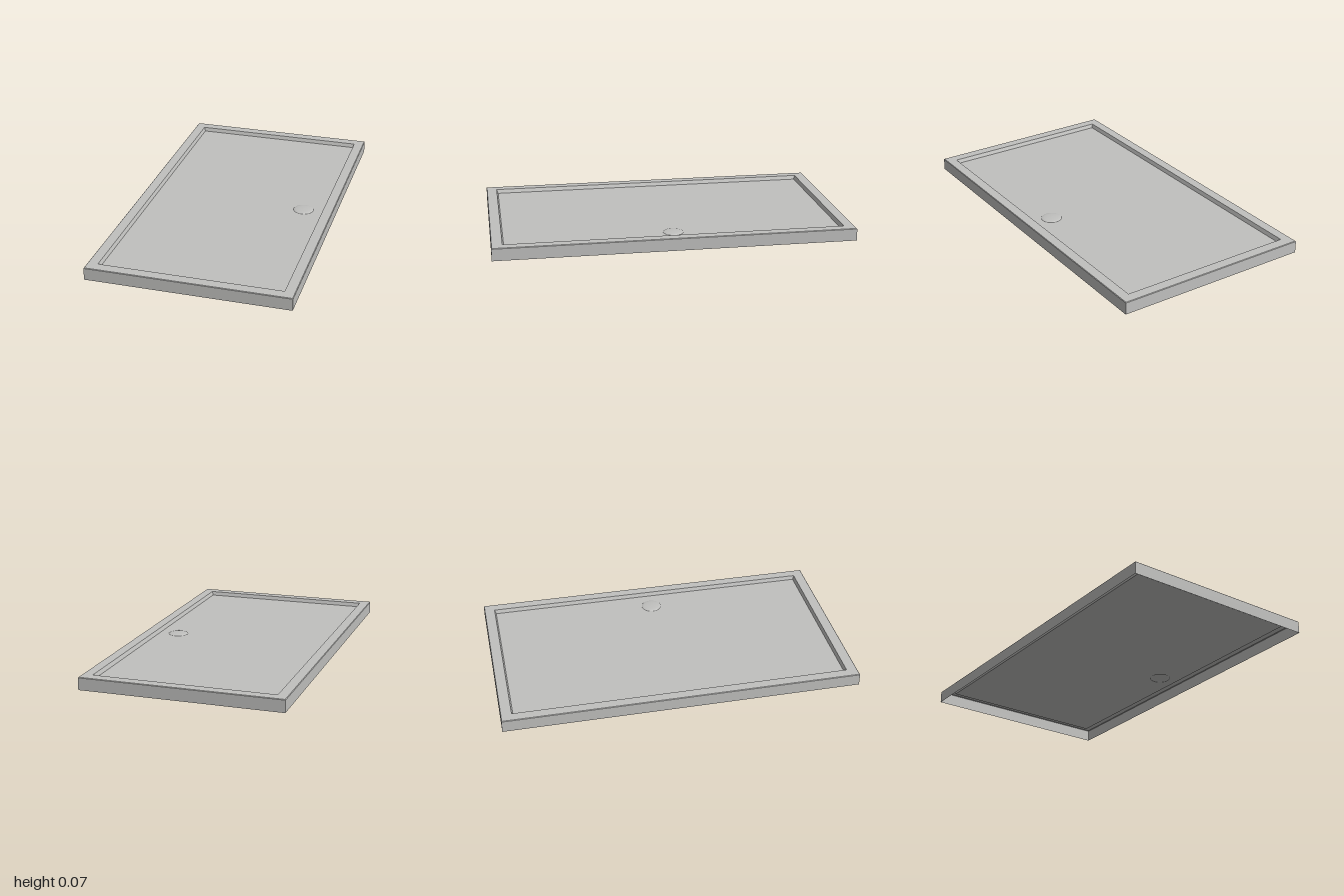
import * as THREE from 'three';

// Flat-shaded strip joining rectangular rings [halfX, y, halfZ], outermost first
function ringShell(rings) {
  const corners = ([x, y, z]) => [[x, y, z], [x, y, -z], [-x, y, -z], [-x, y, z]];
  const pos = [];
  for (let r = 0; r < rings.length - 1; r++) {
    const a = corners(rings[r]), b = corners(rings[r + 1]);
    for (let i = 0; i < 4; i++) {
      const j = (i + 1) % 4;
      pos.push(...a[i], ...a[j], ...b[j], ...a[i], ...b[j], ...b[i]);
    }
  }
  const geo = new THREE.BufferGeometry();
  geo.setAttribute('position', new THREE.Float32BufferAttribute(pos, 3));
  geo.computeVertexNormals();
  return geo;
}

export function createModel() {
  const group = new THREE.Group();
  group.name = 'showerTray';
  const acrylic = new THREE.MeshStandardMaterial({ color: 0xc0c0be, side: THREE.DoubleSide });
  acrylic.name = 'pale grey acrylic';
  const add = (name, geo, x = 0, y = 0, z = 0) => {
    const mesh = new THREE.Mesh(geo, acrylic);
    mesh.name = name;
    mesh.position.set(x, y, z);
    group.add(mesh);
  };

  const top = 0.07, floorY = 0.048;
  const drainX = 0.385, drainR = 0.057;

  // Outer skirt, open underneath, with a slightly eased top edge
  add('skirt', ringShell([[0.56, 0, 1], [0.56, top - 0.003, 1], [0.557, top, 0.997]]));
  // Flat rim and the steep step down to the floor
  add('rim', ringShell([[0.557, top, 0.997], [0.503, top, 0.94]]));
  add('basinStep', ringShell([[0.503, top, 0.94], [0.495, floorY, 0.932]]));

  // Standing floor with a round waste opening
  const shape = new THREE.Shape();
  shape.moveTo(-0.495, -0.932).lineTo(0.495, -0.932).lineTo(0.495, 0.932).lineTo(-0.495, 0.932).closePath();
  const hole = new THREE.Path();
  hole.absarc(drainX, 0, drainR, 0, Math.PI * 2, true);
  shape.holes.push(hole);
  add('floor', new THREE.ShapeGeometry(shape, 24).rotateX(-Math.PI / 2), 0, floorY, 0);

  // Shallow domed waste cover
  const dome = [[drainR, 0], [0.054, 0.003], [0.042, 0.0055], [0.022, 0.007], [0, 0.0075]]
    .map(([x, y]) => new THREE.Vector2(x, y));
  add('drainCover', new THREE.LatheGeometry(dome, 48), drainX, floorY, 0);

  return group;
}
